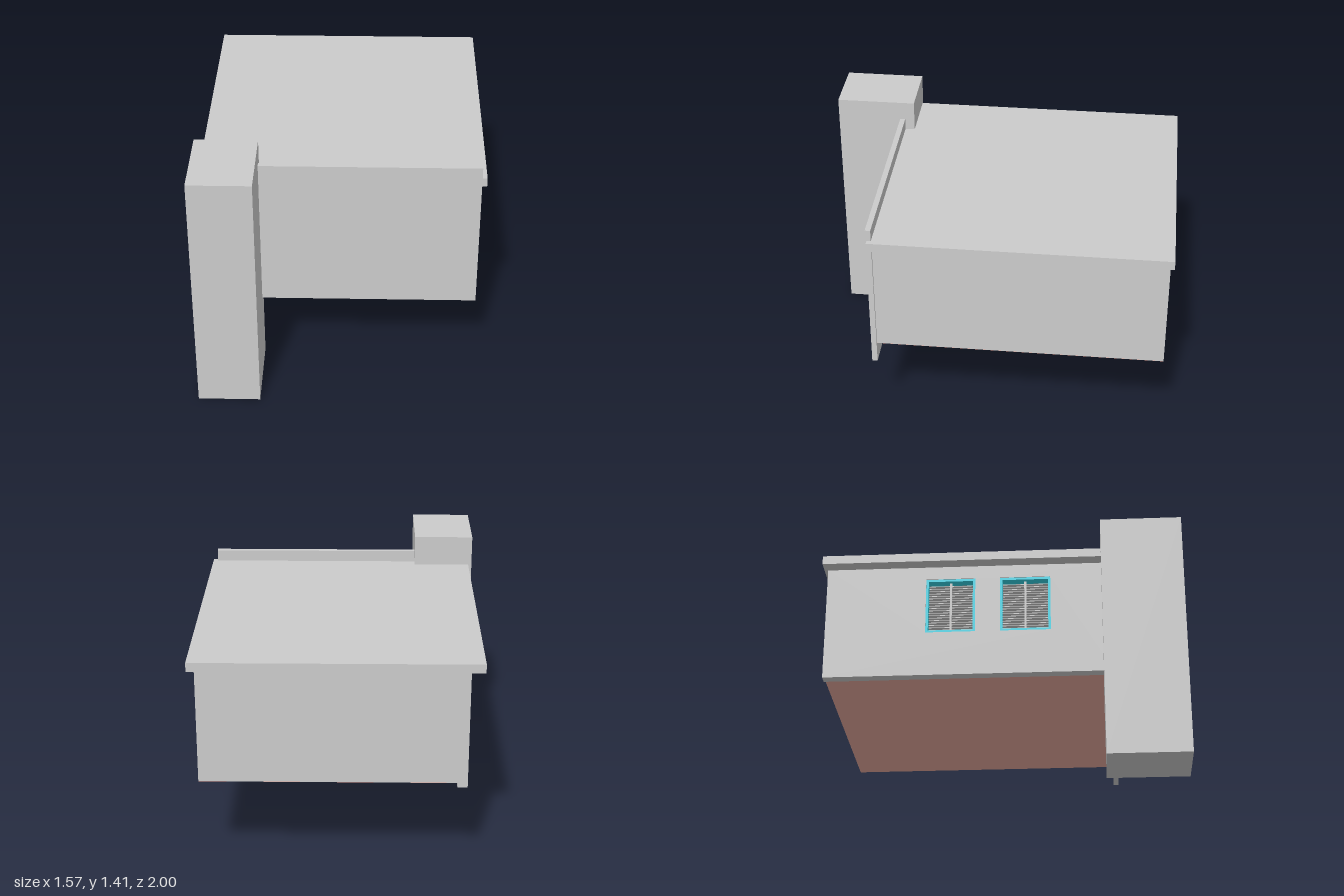
import * as THREE from 'three';

const paint = (color) => new THREE.MeshStandardMaterial({ color });

export function createModel() {
  const model = new THREE.Group();
  const grey = paint(0xcccccc);
  const coral = paint(0xe8aa9e);
  const cyan = paint(0x35d5e8);

  // Box given by its minimum and maximum corners
  const box = (name, [x0, y0, z0], [x1, y1, z1], material = grey, parent = model) => {
    const mesh = new THREE.Mesh(new THREE.BoxGeometry(x1 - x0, y1 - y0, z1 - z0), material);
    mesh.position.set((x0 + x1) / 2, (y0 + y1) / 2, (z0 + z1) / 2);
    mesh.name = name;
    parent.add(mesh);
    return mesh;
  };

  // Main volumes
  box('pillar', [-0.783, 0, 0.55], [-0.44, 1.413, 1]);
  box('roofSlab', [-0.763, 1.19, -1], [0.782, 1.24, 0.628]);
  box('frontPanel', [-0.6, 0.433, 0.605], [0.755, 1.305, 0.635]);
  box('leftWall', [0.687, 0.55, -0.98], [0.742, 1.19, 0.605]);
  box('backWall', [-0.64, 0.55, -0.98], [0.687, 1.19, -0.925]);
  box('floor', [-0.635, 0.548, -0.979], [0.741, 0.552, 0.605], coral);

  // Side wall with two window openings, drawn in the z-y plane
  const inner = -0.635, outer = -0.69;
  const sill = 0.782, head = 1.113;
  const windows = [[-0.424, -0.15], [-0.013, 0.267]];
  const outline = (a, b, c, d) => [[a, b], [c, b], [c, d], [a, d]].map((p) => new THREE.Vector2(...p));
  const shape = new THREE.Shape(outline(-0.98, 0.523, 0.605, 1.19));
  for (const [a, b] of windows) shape.holes.push(new THREE.Path(outline(a, sill, b, head)));
  const wallGeometry = new THREE.ExtrudeGeometry(shape, { depth: inner - outer, bevelEnabled: false });
  wallGeometry.rotateY(-Math.PI / 2).translate(inner, 0, 0);
  const windowWall = new THREE.Mesh(wallGeometry, grey);
  windowWall.name = 'windowWall';
  model.add(windowWall);

  // Windows: coloured frame, centre mullion and fine horizontal louvres
  const f = 0.014, fx0 = outer + 0.004, fx1 = inner;
  for (const [a, b] of windows) {
    const unit = new THREE.Group();
    unit.name = 'window';
    model.add(unit);
    box('frameSill', [fx0, sill, a], [fx1, sill + f, b], cyan, unit);
    box('frameHead', [fx0, head - f, a], [fx1, head, b], cyan, unit);
    box('frameJamb', [fx0, sill + f, a], [fx1, head - f, a + f], cyan, unit);
    box('frameJamb', [fx0, sill + f, b - f], [fx1, head - f, b], cyan, unit);
    const mid = (a + b) / 2;
    box('mullion', [-0.663, sill + f, mid - 0.006], [-0.645, head - f, mid + 0.006], grey, unit);
    const count = 20;
    for (let i = 1; i < count; i++) {
      const y = sill + f + ((head - sill - 2 * f) * i) / count;
      box('louvre', [-0.657, y - 0.002, a + f], [-0.651, y + 0.002, b - f], grey, unit);
    }
  }

  return model;
}
